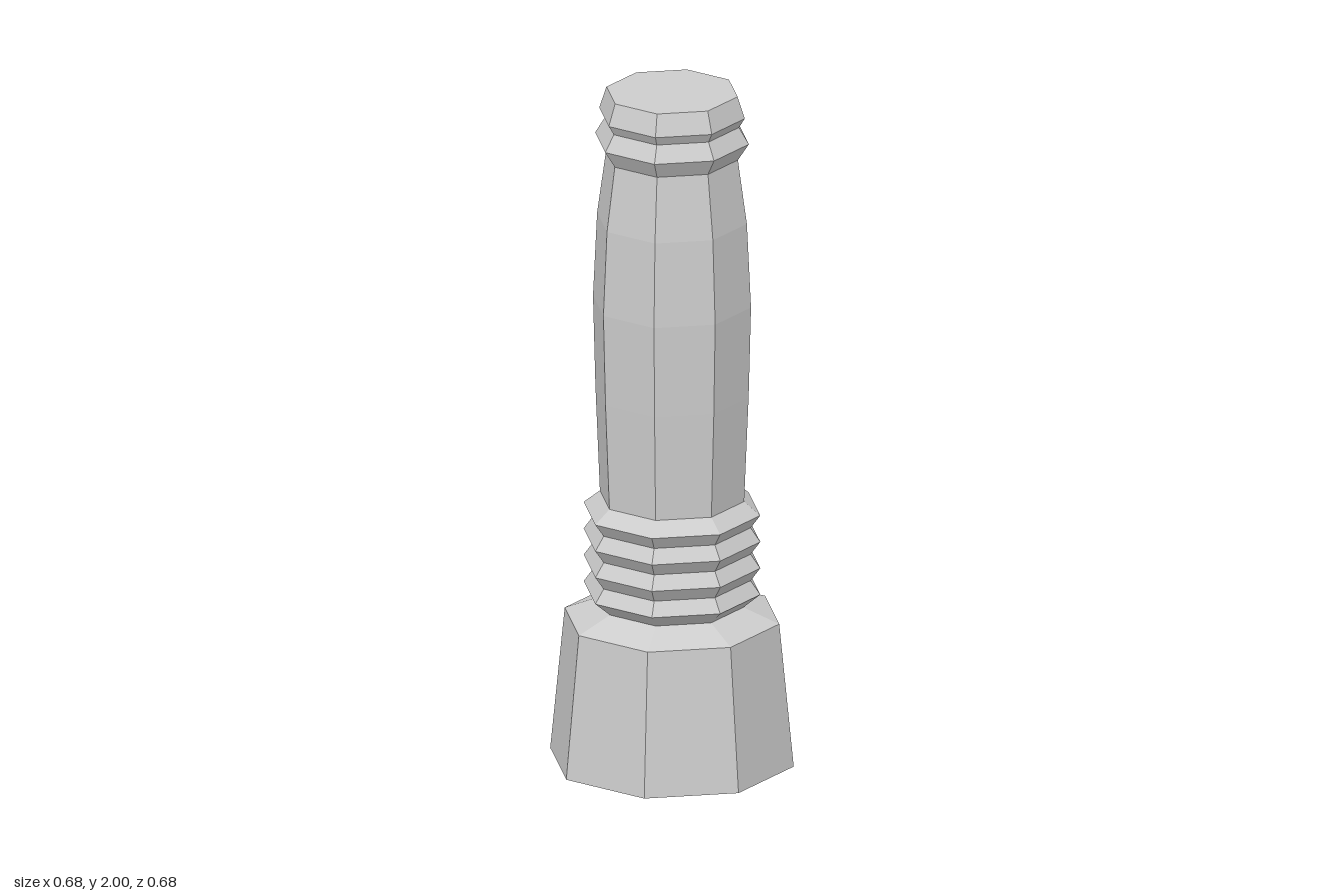
import * as THREE from 'three';

const SIDES = 8;
const TURN = THREE.MathUtils.degToRad(29); // rotation of the octagon about y

export function createModel() {
  const group = new THREE.Group();
  const grey = new THREE.MeshStandardMaterial({ color: 0xcccccc });
  grey.name = 'light grey';
  grey.flatShading = true;

  // Eight-sided turned part from [radius, height] pairs, bottom to top
  const turned = (name, profile) => {
    const points = profile.map(([r, y]) => new THREE.Vector2(r, y));
    const mesh = new THREE.Mesh(new THREE.LatheGeometry(points, SIDES, TURN), grey);
    mesh.name = name;
    group.add(mesh);
  };

  // Tapered foot with closed underside and sloping shoulder
  turned('base', [[0, 0], [0.353, 0], [0.311, 0.425], [0.207, 0.467]]);

  // Four stacked ridges
  const rings = [[0.207, 0.467]];
  for (let i = 0; i < 4; i++) {
    const y = 0.509 + i * 0.0793;
    rings.push([0.256, y]);
    if (i < 3) rings.push([0.228, y + 0.04]);
  }
  rings.push([0.209, 0.785]);
  turned('gripRings', rings);

  // Gently swelling shaft
  turned('shaft', [[0.209, 0.785], [0.222, 1.1], [0.229, 1.37], [0.217, 1.62], [0.191, 1.81]]);

  // Ridged collar and flat top
  turned('topCollar', [
    [0.191, 1.81], [0.223, 1.86], [0.194, 1.908],
    [0.211, 1.936], [0.19, 2], [0, 2],
  ]);

  return group;
}
